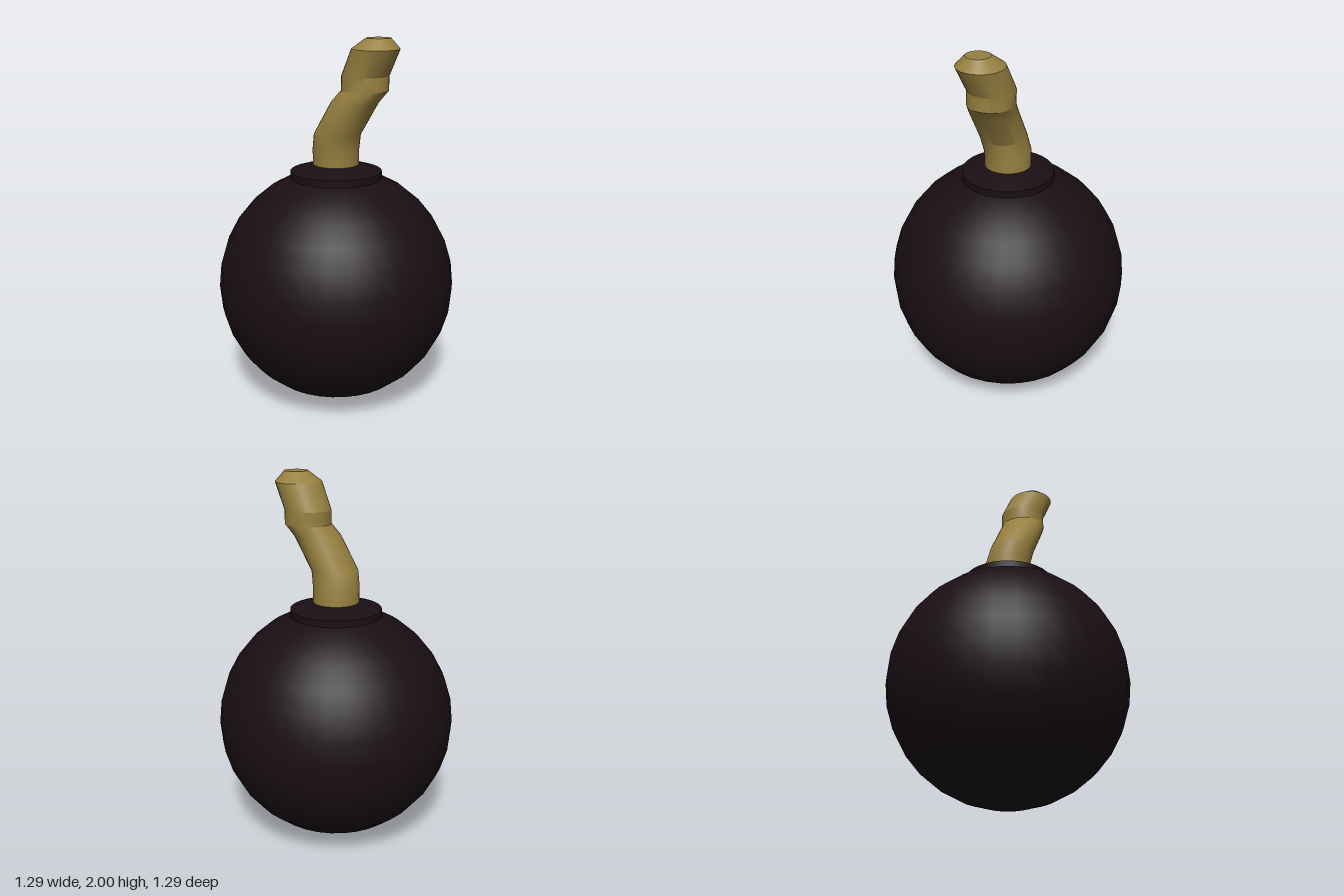
import * as THREE from 'three';
import { toCreasedNormals } from 'three/addons/utils/BufferGeometryUtils.js';

const SIDES = 32;

// Skin of horizontal rings [x, y, z, radius], bottom to top; a zero radius closes an end
function ringSkin(rings) {
  const pos = [], index = [];
  for (const [x, y, z, r] of rings) {
    for (let i = 0; i < SIDES; i++) {
      const a = (i / SIDES) * Math.PI * 2;
      pos.push(x + r * Math.sin(a), y, z + r * Math.cos(a));
    }
  }
  for (let k = 0; k < rings.length - 1; k++) {
    for (let i = 0; i < SIDES; i++) {
      const j = (i + 1) % SIDES;
      const a = k * SIDES + i, b = k * SIDES + j, c = b + SIDES, d = a + SIDES;
      if (rings[k][3] > 0) index.push(a, b, c);
      if (rings[k + 1][3] > 0) index.push(a, c, d);
      else if (rings[k][3] === 0) continue;
    }
  }
  const g = new THREE.BufferGeometry();
  g.setAttribute('position', new THREE.Float32BufferAttribute(pos, 3));
  g.setIndex(index);
  return toCreasedNormals(g, Math.PI / 9);
}

export function createModel() {
  const group = new THREE.Group();
  const iron = new THREE.MeshStandardMaterial({ color: 0x1a0f14 });
  const cord = new THREE.MeshStandardMaterial({ color: 0x978040 });
  const add = (name, geometry, material) => {
    const mesh = new THREE.Mesh(geometry, material);
    mesh.name = name;
    group.add(mesh);
    return mesh;
  };

  // Round shell standing on the ground
  add('body', new THREE.SphereGeometry(0.647, SIDES, 16), iron).position.y = 0.652;

  // Short rim with a sloping shoulder
  add('collar', ringSkin([
    [0, 1.2, 0, 0.247],
    [0, 1.287, 0, 0.247],
    [0, 1.325, 0, 0.125],
    [0, 1.325, 0, 0],
  ]), iron);

  // Bent fuse with a bevelled tip
  add('fuse', ringSkin([
    [0, 1.3, 0, 0.125],
    [0, 1.405, 0.002, 0.125],
    [0.021, 1.49, 0.01, 0.125],
    [0.118, 1.667, -0.026, 0.125],
    [0.16, 1.73, -0.058, 0.124],
    [0.159, 1.805, -0.06, 0.124],
    [0.229, 1.945, -0.065, 0.125],
    [0.245, 2.0, -0.068, 0.064],
    [0.245, 2.0, -0.068, 0],
  ]), cord);

  return group;
}
